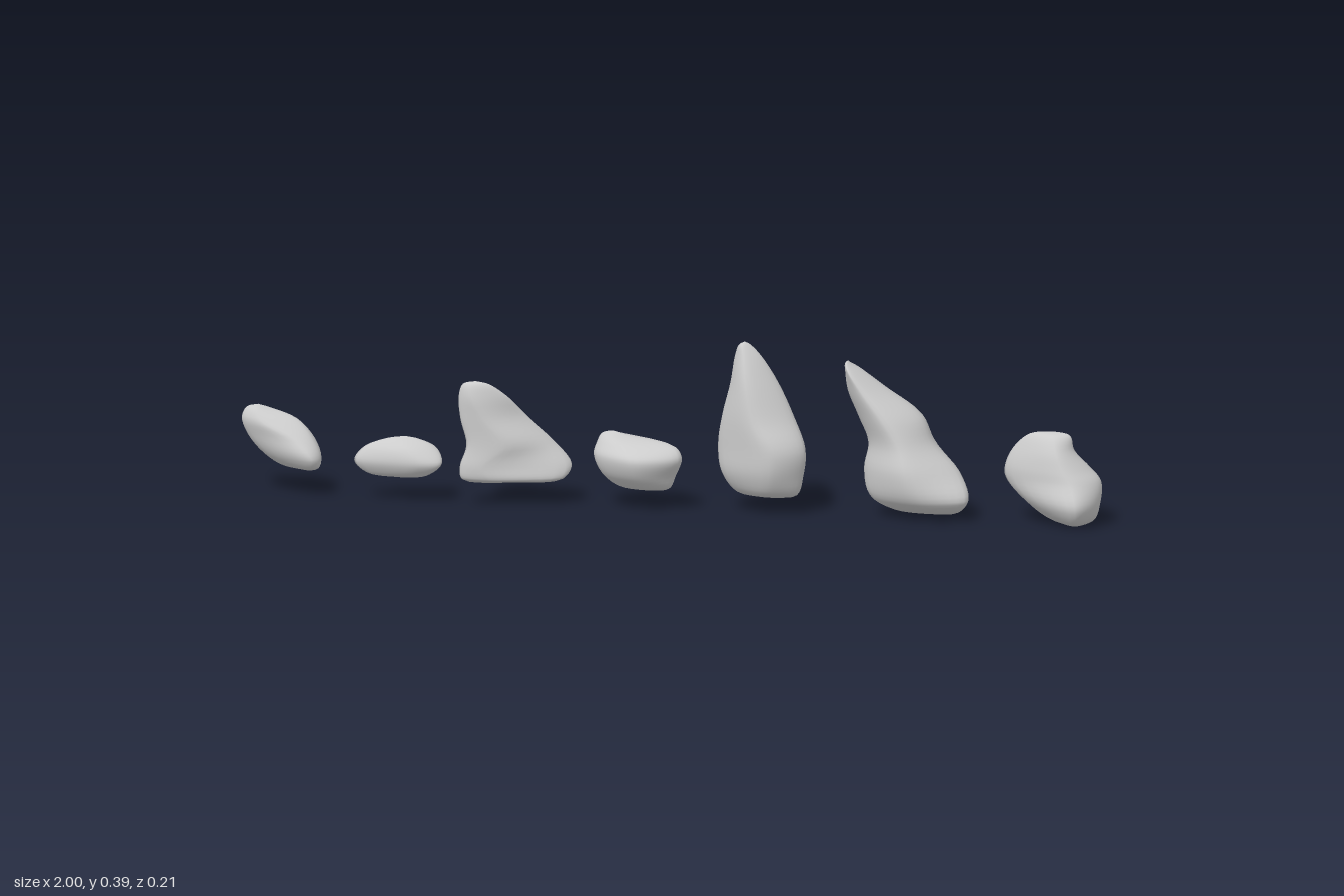
import * as THREE from 'three';
import { mergeVertices } from 'three/addons/utils/BufferGeometryUtils.js';

const RING = 28, STEPS = 5;

// Each section: [y, leftX, leftZ, frontX, frontZ, rightX, rightZ, backX, backZ]
function rockGeometry(sections) {
  const rings = sections.map(([y, ...p]) => {
    const corners = [0, 2, 4, 6].map((k) => new THREE.Vector3(p[k], y, p[k + 1]));
    const curve = new THREE.CatmullRomCurve3(corners, true, 'centripetal');
    return Array.from({ length: RING }, (_, i) => curve.getPoint(i / RING));
  });
  // A pole just beyond each end section closes the stone
  const pole = (ring, dy) => {
    const c = new THREE.Vector3();
    ring.forEach((v) => c.add(v));
    c.divideScalar(RING).y += dy;
    return ring.map(() => c);
  };
  const all = [pole(rings[0], -0.008), ...rings, pole(rings[rings.length - 1], 0.007)];
  const rows = (all.length - 1) * STEPS;
  const pos = [], index = [];
  const columns = Array.from({ length: RING }, (_, i) =>
    new THREE.CatmullRomCurve3(all.map((r) => r[i]), false, 'centripetal'));
  for (let j = 0; j <= rows; j++) {
    for (let i = 0; i < RING; i++) {
      pos.push(...columns[i].getPoint(j / rows).toArray());
      if (j === rows) continue;
      const a = j * RING + i, b = j * RING + (i + 1) % RING;
      if (j > 0) index.push(a, b, b + RING);
      if (j < rows - 1 || j === 0) index.push(a, b + RING, a + RING);
      else index.push(a, b, a + RING);
    }
  }
  let geo = new THREE.BufferGeometry();
  geo.setAttribute('position', new THREE.Float32BufferAttribute(pos, 3));
  geo.setIndex(index);
  geo = mergeVertices(geo, 1e-5);
  geo.computeVertexNormals();
  return geo;
}

export function createModel() {
  const group = new THREE.Group();
  group.name = 'rockRow';
  const material = new THREE.MeshStandardMaterial({ color: 0xcccccc });
  const rock = (name, sections) => {
    const mesh = new THREE.Mesh(rockGeometry(sections), material);
    mesh.name = name;
    group.add(mesh);
  };

  // Small slanted stone
  rock('slantedRock', [
    [0.065, -0.91, 0.02, -0.83, 0.07, -0.815, 0.05, -0.85, 0],
    [0.09, -0.95, 0.02, -0.83, 0.085, -0.81, 0.05, -0.84, -0.01],
    [0.13, -0.985, 0.02, -0.87, 0.07, -0.83, 0.04, -0.86, -0.025],
    [0.17, -1, 0.02, -0.95, 0.05, -0.87, 0.02, -0.91, -0.02],
    [0.194, -0.99, 0.015, -0.965, 0.03, -0.94, 0.01, -0.96, -0.005],
  ]);
  // Flat pebble
  rock('flatPebble', [
    [0.062, -0.70, 0.06, -0.6, 0.08, -0.56, 0.07, -0.6, 0.04],
    [0.09, -0.73, 0.06, -0.58, 0.095, -0.525, 0.07, -0.58, 0.01],
    [0.12, -0.71, 0.055, -0.6, 0.085, -0.54, 0.05, -0.57, 0.005],
    [0.141, -0.66, 0.05, -0.62, 0.06, -0.58, 0.045, -0.6, 0.03],
  ]);
  // Wedge with its peak over one end
  rock('wedgeRock', [
    [0.06, -0.475, 0.08, -0.4, 0.09, -0.25, 0.03, -0.3, -0.02],
    [0.09, -0.48, 0.08, -0.42, 0.095, -0.235, 0.01, -0.29, -0.055],
    [0.14, -0.465, 0.08, -0.37, 0.085, -0.275, 0, -0.32, -0.03],
    [0.2, -0.48, 0.075, -0.42, 0.09, -0.335, 0.02, -0.38, 0.01],
    [0.25, -0.485, 0.07, -0.45, 0.09, -0.375, 0.05, -0.42, 0.04],
    [0.28, -0.475, 0.07, -0.455, 0.08, -0.415, 0.065, -0.44, 0.055],
  ]);
  // Low stone in the middle
  rock('lowRock', [
    [0.05, -0.12, 0.03, -0.06, 0.06, 0, 0.04, -0.05, 0],
    [0.08, -0.16, 0.03, -0.07, 0.09, 0.015, 0.04, -0.06, -0.04],
    [0.12, -0.18, 0.02, -0.08, 0.1, 0.03, 0.05, -0.065, -0.06],
    [0.145, -0.175, 0.01, -0.1, 0.07, 0.015, 0.04, -0.08, -0.04],
    [0.165, -0.165, 0, -0.14, 0.02, -0.11, 0.01, -0.14, -0.02],
  ]);
  // Tall spire
  rock('spireRock', [
    [0.045, 0.15, 0.01, 0.23, 0.06, 0.295, 0.03, 0.24, -0.02],
    [0.09, 0.115, 0.01, 0.24, 0.085, 0.31, 0.03, 0.22, -0.045],
    [0.15, 0.105, 0, 0.24, 0.09, 0.315, 0.03, 0.22, -0.065],
    [0.22, 0.115, 0, 0.2, 0.075, 0.285, 0.01, 0.21, -0.06],
    [0.3, 0.135, 0, 0.18, 0.055, 0.245, 0, 0.19, -0.045],
    [0.36, 0.145, 0, 0.17, 0.03, 0.205, 0, 0.18, -0.025],
    [0.385, 0.155, 0.005, 0.165, 0.015, 0.18, 0, 0.17, -0.01],
  ]);
  // Leaning horn
  rock('hornRock', [
    [0.02, 0.52, 0.02, 0.6, 0.05, 0.67, 0.03, 0.62, -0.03],
    [0.05, 0.46, 0.01, 0.58, 0.085, 0.695, 0.04, 0.6, -0.07],
    [0.11, 0.445, 0, 0.56, 0.09, 0.665, 0, 0.57, -0.105],
    [0.17, 0.455, 0, 0.54, 0.07, 0.605, -0.01, 0.56, -0.11],
    [0.23, 0.43, -0.01, 0.5, 0.06, 0.575, -0.02, 0.53, -0.1],
    [0.29, 0.405, -0.01, 0.45, 0.045, 0.495, -0.02, 0.46, -0.075],
    [0.335, 0.4, -0.01, 0.415, 0.03, 0.435, -0.01, 0.42, -0.045],
    [0.35, 0.4, -0.005, 0.406, 0.012, 0.413, -0.005, 0.407, -0.022],
  ]);
  // Blunt end stone
  rock('bluntRock', [
    [0.01, 0.88, 0, 0.95, 0.07, 0.98, 0, 0.93, -0.05],
    [0.05, 0.82, 0, 0.955, 0.093, 0.995, 0, 0.89, -0.09],
    [0.1, 0.77, -0.02, 0.94, 0.07, 0.995, -0.01, 0.89, -0.1],
    [0.13, 0.77, -0.02, 0.92, 0.06, 0.97, -0.01, 0.89, -0.08],
    [0.17, 0.79, -0.02, 0.9, 0.045, 0.935, 0, 0.88, -0.055],
    [0.204, 0.83, -0.01, 0.89, 0.02, 0.925, 0, 0.88, -0.03],
  ]);
  return group;
}
